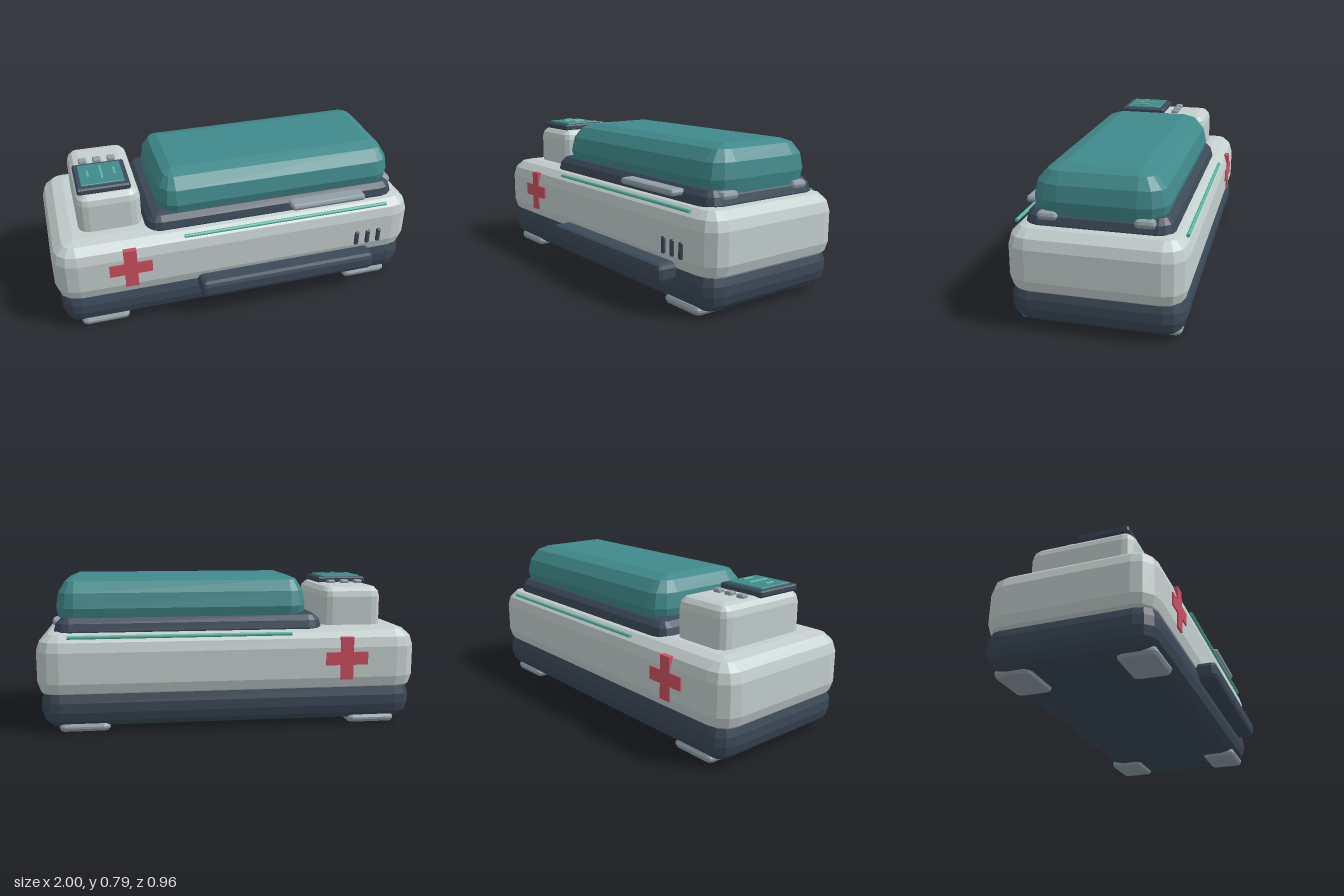
import * as THREE from 'three';

const paint = (name, color) => {
  const m = new THREE.MeshStandardMaterial({ color });
  m.name = name;
  return m;
};

// Faceted rounded box between two corners; r = radii along x, y, z; n = facets per edge
function roundedBox(min, max, r, n) {
  const c = [0, 1, 2].map(i => (min[i] + max[i]) / 2);
  const h = [0, 1, 2].map(i => (max[i] - min[i]) / 2);
  const q = r.map((v, i) => Math.min(v, h[i]));
  const pos = [], idx = [];
  const ring = 4 * (n + 1), rows = 2 * (n + 1);
  for (let i = 0; i < rows; i++) {
    const top = i > n ? 1 : -1;
    const lat = ((top > 0 ? i - n - 1 : i - n) / n) * Math.PI / 2;
    for (let k = 0; k < 4; k++) {
      const sx = k === 0 || k === 3 ? 1 : -1, sz = k < 2 ? 1 : -1;
      for (let j = 0; j <= n; j++) {
        const a = (k + j / n) * Math.PI / 2;
        pos.push(
          c[0] + sx * (h[0] - q[0]) + q[0] * Math.cos(lat) * Math.cos(a),
          c[1] + top * (h[1] - q[1]) + q[1] * Math.sin(lat),
          c[2] + sz * (h[2] - q[2]) + q[2] * Math.cos(lat) * Math.sin(a));
      }
    }
  }
  const low = rows * ring, high = low + 1;
  pos.push(c[0], min[1], c[2], c[0], max[1], c[2]);
  for (let j = 0; j < ring; j++) {
    const k = (j + 1) % ring;
    for (let i = 0; i < rows - 1; i++) {
      const a = i * ring + j, b = i * ring + k;
      idx.push(a, a + ring, b, b, a + ring, b + ring);
    }
    idx.push(low, j, k, high, (rows - 1) * ring + k, (rows - 1) * ring + j);
  }
  const g = new THREE.BufferGeometry();
  g.setAttribute('position', new THREE.Float32BufferAttribute(pos, 3));
  g.setIndex(idx);
  const flat = g.toNonIndexed();
  flat.computeVertexNormals();
  return flat;
}

export function createModel() {
  const model = new THREE.Group();
  model.name = 'medicalPod';
  const pale = paint('paleShell', 0xc3cfcd);
  const dark = paint('darkSlate', 0x3b4958);
  const teal = paint('tealGlass', 0x40898b);
  const red = paint('crossRed', 0xcb4f60);
  const grey = paint('metalGrey', 0x919ea6);
  const mint = paint('mintLight', 0x58b9a4);

  const add = (name, geometry, material) => {
    const m = new THREE.Mesh(geometry, material);
    m.name = name;
    model.add(m);
    return m;
  };
  const block = (name, mat, min, max, r, n = 3) =>
    add(name, roundedBox(min, max, Array.isArray(r) ? r : [r, r, r], n), mat);

  // Main body
  block('base', dark, [-0.98, 0.02, -0.47], [0.98, 0.25, 0.385], [0.1, 0.09, 0.1]);
  block('hull', pale, [-1, 0.16, -0.475], [1, 0.52, 0.39], [0.12, 0.1, 0.11]);

  // Feet
  for (const x of [-0.76, 0.76])
    for (const [z0, z1] of [[0.17, 0.365], [-0.445, -0.25]])
      block('foot', grey, [x - 0.13, 0, z0], [x + 0.13, 0.05, z1], [0.03, 0.02, 0.03], 2);

  // Bed tray and canopy
  block('tray', dark, [-0.5, 0.44, -0.4], [0.91, 0.594, 0.315], [0.08, 0.075, 0.07]);
  block('canopy', teal, [-0.43, 0.475, -0.37], [0.905, 0.787, 0.285], [0.1, 0.156, 0.14]);

  // Latches: one along the front, two at the foot end
  block('frontLatch', grey, [0.28, 0.54, 0.29], [0.705, 0.575, 0.375], 0.015, 2);
  for (const z of [0.193, -0.27])
    block('endLatch', grey, [0.86, 0.54, z - 0.05], [0.918, 0.581, z + 0.05], [0.015, 0.018, 0.02], 2);

  // Front rail and vents
  block('frontRail', dark, [-0.25, 0.14, 0.34], [0.745, 0.237, 0.48], 0.025, 2);
  for (const x of [0.667, 0.733, 0.798])
    block('vent', dark, [x - 0.012, 0.265, 0.37], [x + 0.012, 0.348, 0.402], 0.005, 1);

  // Cross and light strip on both long sides
  for (const [face, strip, s] of [[0.39, 0.373, 1], [-0.475, -0.455, -1]]) {
    const z = [face - s * 0.02, face + s * 0.007].sort((a, b) => a - b);
    const outline = [[1, 3], [1, 1], [3, 1], [3, -1], [1, -1], [1, -3],
      [-1, -3], [-1, -1], [-3, -1], [-3, 1], [-1, 1], [-1, 3]];
    const shape = new THREE.Shape(outline.map(([x, y]) => new THREE.Vector2(
      Math.sign(x) * (Math.abs(x) > 1 ? 0.1125 : 0.034),
      Math.sign(y) * (Math.abs(y) > 1 ? 0.1125 : 0.034))));
    const cross = add('cross', new THREE.ExtrudeGeometry(shape,
      { depth: z[1] - z[0], bevelEnabled: false }), red);
    cross.position.set(-0.608, 0.3625, z[0]);

    const light = add('lightStrip', new THREE.CylinderGeometry(0.0095, 0.0095, 1.15, 8), mint);
    light.rotation.z = Math.PI / 2;
    light.position.set(0.26, 0.497, strip);
  }

  // Control console with screen and buttons
  block('console', pale, [-0.84, 0.42, -0.33], [-0.505, 0.731, 0.235], [0.06, 0.06, 0.06]);
  block('screenFrame', dark, [-0.825, 0.725, -0.065], [-0.55, 0.76, 0.205], 0.008, 1);
  block('screen', teal, [-0.8, 0.75, -0.035], [-0.575, 0.768, 0.175], 0.003, 1);
  for (const [x, z0, z1] of [[-0.755, 0.043, 0.1], [-0.685, 0.003, 0.135], [-0.617, 0.035, 0.105]])
    block('screenMark', mint, [x - 0.006, 0.762, z0], [x + 0.006, 0.776, z1], 0.002, 1);
  for (const x of [-0.762, -0.685, -0.607])
    block('button', grey, [x - 0.022, 0.715, -0.15], [x + 0.022, 0.75, -0.108], 0.008, 2);

  return model;
}
